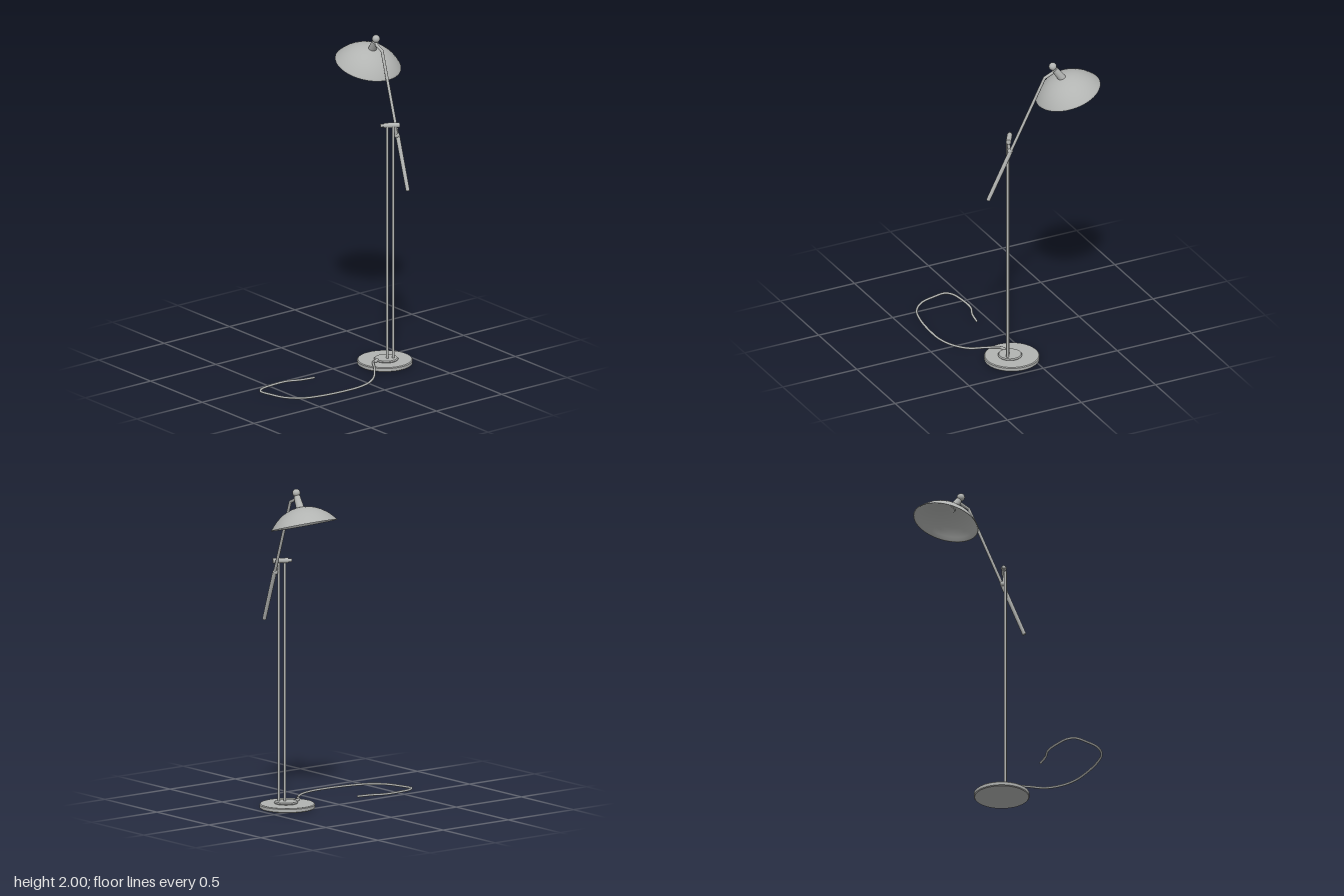
import * as THREE from 'three';

const metal = new THREE.MeshStandardMaterial({ color: 0xb2b4b2 });
metal.name = 'grey metal';

const V = (x, y, z) => new THREE.Vector3(x, y, z);

function part(name, geometry, position = V(0, 0, 0)) {
  const mesh = new THREE.Mesh(geometry, metal);
  mesh.name = name;
  mesh.position.copy(position);
  return mesh;
}

// Cylinder between two points
function rod(name, a, b, r0, r1 = r0) {
  const dir = b.clone().sub(a);
  const mesh = part(name, new THREE.CylinderGeometry(r1, r0, dir.length(), 20), a.clone().add(b).multiplyScalar(0.5));
  mesh.quaternion.setFromUnitVectors(V(0, 1, 0), dir.normalize());
  return mesh;
}

const ball = (name, p, r) => part(name, new THREE.SphereGeometry(r, 24, 16), p);

// Disc with a small bevel on its edges
function disc(name, r, h, bevel, position) {
  const pts = [[0, 0], [r - bevel, 0], [r - bevel, 0], [r, bevel], [r, bevel], [r, h - bevel], [r, h - bevel],
    [r - bevel, h], [r - bevel, h], [0, h]];
  return part(name, new THREE.LatheGeometry(pts.map(p => new THREE.Vector2(...p)), 64), position);
}

export function createModel() {
  const lamp = new THREE.Group();
  lamp.name = 'floorLamp';

  // Base and hub
  lamp.add(disc('base', 0.167, 0.028, 0.005, V(0.308, 0, 0.113)));
  lamp.add(disc('baseHub', 0.073, 0.014, 0.006, V(0.308, 0.026, 0.125)));

  // Twin poles
  lamp.add(rod('innerPole', V(0.308, 0.03, 0.137), V(0.308, 1.51, 0.137), 0.008));
  lamp.add(rod('outerPole', V(0.338, 0.03, 0.157), V(0.338, 1.51, 0.157), 0.008));

  // Crossbar with a narrow knob on one end
  lamp.add(rod('crossbar', V(0.294, 1.512, 0.12), V(0.375, 1.512, 0.17), 0.016));
  lamp.add(rod('crossbarKnob', V(0.276, 1.512, 0.109), V(0.296, 1.512, 0.121), 0.01));

  // Link from the crossbar to the arm joint
  const armFoot = V(0.343, 1.133, 0.291);
  const armTop = V(0.417, 1.912, -0.052);
  const joint = armFoot.clone().lerp(armTop, 0.4);
  lamp.add(rod('armLink', V(0.353, 1.505, 0.16), V(0.36, 1.44, 0.155), 0.009));
  lamp.add(ball('armJoint', joint.clone().add(V(-0.006, 0, 0)), 0.017));

  // Arm with its thicker counterweight end
  lamp.add(rod('counterweight', armFoot, joint, 0.012, 0.013));
  lamp.add(rod('arm', joint, armTop, 0.009));
  lamp.add(ball('armElbow', armTop, 0.009));
  lamp.add(rod('armTip', armTop, V(0.418, 1.94, -0.115), 0.009));

  // Shade: double-walled shallow dome
  const outer = [[0, 0.112], [0.03, 0.11], [0.06, 0.104], [0.09, 0.093], [0.115, 0.081], [0.14, 0.064],
    [0.162, 0.046], [0.182, 0.025], [0.195, 0.009], [0.202, 0]];
  const inner = outer.map(([r, y]) => [r * 0.98, Math.max(y - 0.005, 0)]);
  const profile = [...inner, ...outer.reverse()].map(p => new THREE.Vector2(...p));
  const shade = part('shade', new THREE.LatheGeometry(profile, 72), V(0.43, 1.794, -0.203));
  shade.rotation.x = 0.29;
  lamp.add(shade);

  // Socket stem and ball finial
  lamp.add(rod('shadeStem', V(0.43, 1.89, -0.165), V(0.419, 1.955, -0.119), 0.025, 0.02));
  lamp.add(ball('finial', V(0.415, 1.976, -0.108), 0.024));

  // Cord lying on the floor
  const path = [[0.24, 0.036, 0.122], [0.205, 0.036, 0.132], [0.155, 0.03, 0.204], [0.0875, 0.013, 0.288],
    [0, 0.011, 0.355], [-0.098, 0.011, 0.387], [-0.215, 0.011, 0.392], [-0.384, 0.011, 0.375],
    [-0.5, 0.011, 0.338], [-0.576, 0.011, 0.264], [-0.608, 0.011, 0.17], [-0.62, 0.011, 0.086],
    [-0.586, 0.011, 0.052], [-0.5, 0.011, 0.035], [-0.384, 0.011, 0.034], [-0.3, 0.011, 0.066],
    [-0.212, 0.011, 0.083]].map(p => V(...p));
  lamp.add(part('cord', new THREE.TubeGeometry(new THREE.CatmullRomCurve3(path), 160, 0.007, 10)));
  lamp.add(ball('cordEnd', path[path.length - 1], 0.007));
  lamp.add(rod('cordBoot', V(0.245, 0.034, 0.12), V(0.205, 0.036, 0.132), 0.012, 0.008));

  return lamp;
}
